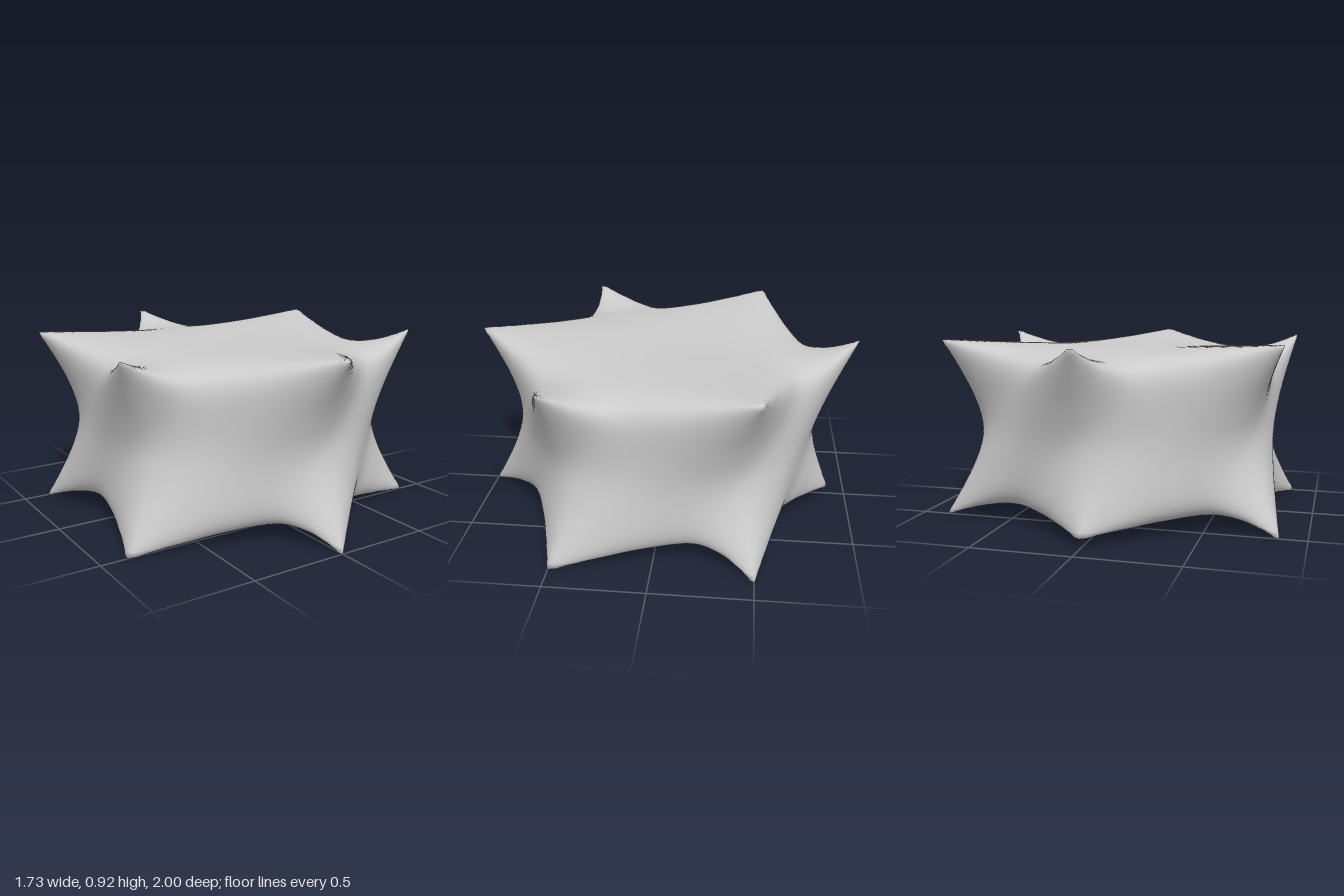
import * as THREE from 'three';

const HEIGHT = 0.92, LEVELS = 5, TIPS = 12;

// Twelve corners of a hexagonal prism (top 0-5, bottom 6-11), as 20 triangles
function controlCage() {
  const points = [], faces = [];
  for (const y of [HEIGHT, 0]) {
    for (let k = 0; k < 6; k++) {
      const a = k * Math.PI / 3;
      points.push(new THREE.Vector3(Math.sin(a), y, Math.cos(a)));
    }
  }
  const top = k => (k + 6) % 6, bottom = k => 6 + (k + 6) % 6;
  // Caps: one large triangle and three ears each, turned against each other
  faces.push([top(0), top(2), top(4)], [bottom(5), bottom(3), bottom(1)]);
  for (let k = 0; k < 6; k += 2) {
    faces.push([top(k), top(k + 1), top(k + 2)]);
    faces.push([bottom(k + 1), bottom(k), bottom(k - 1)]);
  }
  // Sides: every panel is split along the same diagonal
  for (let k = 0; k < 6; k++) {
    faces.push([bottom(k), bottom(k + 1), top(k + 1)]);
    faces.push([bottom(k), top(k + 1), top(k)]);
  }
  return { points, faces };
}

// Moves every point except the tips towards (or past) the mean of its neighbours
function smooth({ points, faces }, weightFor) {
  const rings = points.map(() => new Set());
  for (const [a, b, c] of faces) {
    rings[a].add(b).add(c);
    rings[b].add(c).add(a);
    rings[c].add(a).add(b);
  }
  return points.map((p, i) => {
    if (i < TIPS) return p.clone();
    const n = rings[i].size, mean = new THREE.Vector3();
    for (const j of rings[i]) mean.addScaledVector(points[j], 1 / n);
    return p.clone().lerp(mean, weightFor(n, i));
  });
}

const loopWeight = n => 5 / 8 - (3 / 8 + Math.cos(2 * Math.PI / n) / 4) ** 2;

// After one step the midpoints 18-29 lie on the rims of the caps: these are
// raised, while the valleys on the caps and sides are deepened
const valleyWeight = (n, i) => (i >= 18 && i < 30 ? -0.7 : 1.3);

// One Loop subdivision step; edges that end in a tip may be halved straight,
// so that the tips become cones
function subdivide(surface, straightTips) {
  const { points, faces } = surface, edges = new Map();
  const key = (a, b) => Math.min(a, b) * points.length + Math.max(a, b);
  for (const f of faces) {
    for (let i = 0; i < 3; i++) {
      const a = f[i], b = f[(i + 1) % 3], c = f[(i + 2) % 3];
      if (!edges.has(key(a, b))) edges.set(key(a, b), { a, b, opposite: [] });
      edges.get(key(a, b)).opposite.push(c);
    }
  }
  const next = smooth(surface, loopWeight);
  for (const e of edges.values()) {
    const straight = straightTips && Math.min(e.a, e.b) < TIPS;
    const q = new THREE.Vector3();
    for (const j of [e.a, e.b]) q.addScaledVector(points[j], straight ? 1 / 2 : 3 / 8);
    if (!straight) for (const j of e.opposite) q.addScaledVector(points[j], 1 / 8);
    e.index = next.length;
    next.push(q);
  }
  const mid = (a, b) => edges.get(key(a, b)).index;
  const split = faces.flatMap(([a, b, c]) => {
    const ab = mid(a, b), bc = mid(b, c), ca = mid(c, a);
    return [[a, ab, ca], [b, bc, ab], [c, ca, bc], [ab, bc, ca]];
  });
  return { points: next, faces: split };
}

export function createModel() {
  let surface = subdivide(controlCage(), false);
  surface.points = smooth(surface, valleyWeight);
  surface.points[9].set(0, 0.05, -0.9); // the lower back tip is shorter
  for (let level = 1; level < LEVELS; level++) surface = subdivide(surface, true);

  const geometry = new THREE.BufferGeometry().setFromPoints(surface.points);
  geometry.setIndex(surface.faces.flat());
  geometry.computeVertexNormals();

  const body = new THREE.Mesh(geometry, new THREE.MeshStandardMaterial({ color: 0xcccccc }));
  body.name = 'spikedBody';
  const group = new THREE.Group();
  group.name = 'spikedHexagonalSolid';
  group.add(body);
  return group;
}
